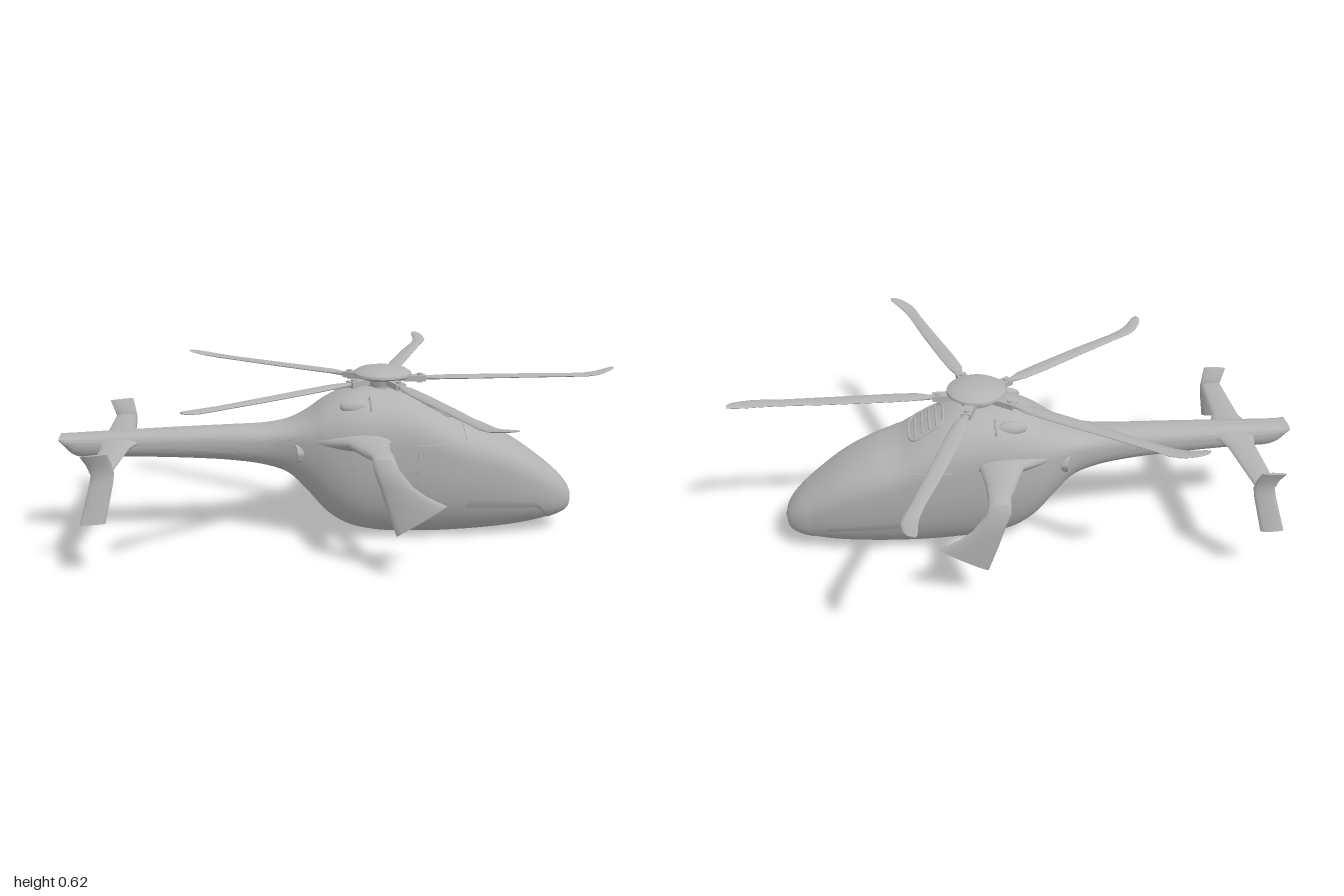
import * as THREE from 'three';
import { toCreasedNormals } from 'three/addons/utils/BufferGeometryUtils.js';

const paint = new THREE.MeshStandardMaterial({ color: 0xb3b3b3 });
paint.name = 'light grey paint';
const V = (x, y, z) => new THREE.Vector3(x, y, z);

function add(parent, name, geo) {
  const m = new THREE.Mesh(geo, paint);
  m.name = name;
  parent.add(m);
  return m;
}

// Closed skin over equal-sized rings, capped at both ends, always facing outwards
function loft(rings, crease = 0.8) {
  const n = rings[0].length, last = (rings.length - 1) * n;
  const pts = rings.flat(), idx = [];
  for (let i = 0; i < rings.length - 1; i++) {
    for (let j = 0; j < n; j++) {
      const a = i * n + j, b = i * n + (j + 1) % n;
      idx.push(a, a + n, b + n, a, b + n, b);
    }
  }
  const centre = ring => ring.reduce((s, p) => s.add(p), V(0, 0, 0)).divideScalar(n);
  const c0 = pts.push(centre(rings[0])) - 1, c1 = pts.push(centre(rings[rings.length - 1])) - 1;
  for (let j = 0; j < n; j++) {
    const k = (j + 1) % n;
    idx.push(c0, j, k, c1, last + k, last + j);
  }
  const origin = pts[c0];
  let volume = 0;
  for (let i = 0; i < idx.length; i += 3) {
    const [a, b, c] = [0, 1, 2].map(k => pts[idx[i + k]].clone().sub(origin));
    volume += a.dot(b.cross(c));
  }
  if (volume < 0) idx.reverse();
  const g = new THREE.BufferGeometry().setFromPoints(pts);
  g.setIndex(idx);
  return toCreasedNormals(g, crease);
}

// Wing-like skin; each station is [leading point, trailing point, thickness, normal]
function foil(stations) {
  return loft(stations.map(([le, te, th, nrm]) => {
    const mid = le.clone().add(te).multiplyScalar(0.5), half = le.clone().sub(mid);
    return Array.from({ length: 20 }, (_, j) => {
      const a = j / 20 * Math.PI * 2;
      return mid.clone().addScaledVector(half, Math.cos(a)).addScaledVector(nrm, th / 2 * Math.sin(a));
    });
  }));
}

// Fuselage stations: x, top, bottom, half width, height of widest line
const BODY = [
  [-1, .388, .372, .045, .381], [-.95, .392, .315, .047, .365], [-.8, .398, .308, .052, .36],
  [-.6, .405, .3, .059, .36], [-.4, .41, .285, .067, .36], [-.28, .413, .265, .08, .36],
  [-.2, .424, .235, .103, .37], [-.13, .455, .165, .135, .37], [-.06, .502, .085, .165, .37],
  [.02, .536, .035, .185, .37], [.12, .542, .01, .19, .37], [.22, .528, .003, .19, .36],
  [.32, .482, 0, .187, .34], [.42, .425, .002, .178, .3], [.52, .388, .007, .167, .27],
  [.62, .338, .016, .15, .23], [.72, .268, .032, .122, .175], [.8, .2, .055, .085, .13],
  [.835, .155, .075, .05, .115], [.848, .118, .108, .006, .113],
];
const curveA = new THREE.CatmullRomCurve3(BODY.map(b => V(b[0], b[1], b[2])));
const curveB = new THREE.CatmullRomCurve3(BODY.map(b => V(b[0], b[3], b[4])));
const POW = 2 / 2.4;

// Point on the fuselage skin, pushed out by d
function skin(t, a, d = 0) {
  const p = curveA.getPoint(t), q = curveB.getPoint(t);
  const c = Math.cos(a), s = Math.sin(a);
  const h = s > 0 ? p.y - q.z : q.z - p.z;
  return V(p.x, q.z + Math.sign(s) * Math.abs(s) ** POW * h + s * d,
    Math.sign(c) * Math.abs(c) ** POW * q.y + c * d);
}
function tAt(x) {
  let lo = 0, hi = 1;
  for (let i = 0; i < 30; i++) {
    const m = (lo + hi) / 2;
    if (curveA.getPoint(m).x < x) lo = m; else hi = m;
  }
  return lo;
}
// Skin angle at a given height
function angleAt(t, y) {
  const p = curveA.getPoint(t), q = curveB.getPoint(t);
  const r = THREE.MathUtils.clamp((y - q.z) / (y > q.z ? p.y - q.z : q.z - p.z), -.97, .97);
  return Math.sign(r) * Math.asin(Math.abs(r) ** (1 / POW));
}
// Slightly raised panel between two angles, with its edges sunk into the fuselage
function panel(x0, x1, from, to) {
  const t0 = tAt(x0), t1 = tAt(x1);
  return loft(Array.from({ length: 33 }, (_, i) => {
    const t = t0 + (t1 - t0) * i / 32, a = from(t), b = to(t);
    return Array.from({ length: 41 }, (_, j) =>
      skin(t, a + (b - a) * j / 40, j === 0 || j === 40 ? -.004 : .003));
  }));
}

export function createModel() {
  const model = new THREE.Group();
  model.name = 'helicopter';

  // Fuselage and tail boom
  add(model, 'fuselage', loft(Array.from({ length: 115 }, (_, i) =>
    Array.from({ length: 56 }, (_, j) => skin(i / 114, j / 56 * Math.PI * 2)))));

  // Windshield and side windows
  const lowEdge = t => {
    const x = curveA.getPoint(t).x;
    return angleAt(t, x < .42 ? .2 - (x - .24) * .47 : x < .7 ? .115 - (x - .42) * .05 : .1 - (x - .7));
  };
  add(model, 'windshield', panel(.42, .842, lowEdge, t => Math.PI - lowEdge(t)));
  const highEdge = t => angleAt(t, .375);
  add(model, 'leftSideWindow', panel(.245, .422, lowEdge, highEdge));
  add(model, 'rightSideWindow', panel(.245, .422, t => Math.PI - highEdge(t), t => Math.PI - lowEdge(t)));

  // Louvred grille on the front of the cowling
  const rim = [[.27, 1.25], [.31, 1.2], [.37, 1.2], [.385, 1.57], [.37, 1.94], [.31, 1.94], [.27, 1.89], [.26, 1.57]]
    .map(([x, a]) => skin(tAt(x), a, .001));
  add(model, 'grilleRim', new THREE.TubeGeometry(new THREE.CatmullRomCurve3(rim, true), 64, .005, 8, true));
  for (let i = 0; i < 4; i++) {
    const t = tAt(.285 + i * .025);
    const slat = new THREE.CatmullRomCurve3([1.24, 1.4, 1.57, 1.74, 1.9].map(a => skin(t, a, .001)));
    add(model, 'grilleSlat', new THREE.TubeGeometry(slat, 20, .005, 6));
  }

  const up = V(0, 1, 0);
  for (const s of [1, -1]) {
    const side = new THREE.Group();
    side.name = s > 0 ? 'leftSide' : 'rightSide';
    model.add(side);
    const out = V(0, 0, s), bend = V(0, .7, .7 * s);
    const st = (xl, yl, xt, yt, z, th, n) => [V(xl, yl, z * s), V(xt, yt, z * s), th, n];

    // Stub wing curving down into its swept winglet
    add(side, 'stubWing', foil([
      st(.2, .375, -.2, .375, .08, .07, up), st(.18, .38, -.1, .38, .15, .07, up),
      st(.145, .385, -.005, .385, .2, .055, up), st(.135, .387, .03, .387, .3, .042, up),
      st(.135, .392, .058, .392, .385, .034, up), st(.137, .388, .06, .388, .415, .034, bend),
      st(.145, .365, .062, .365, .43, .028, out), st(.19, .305, .085, .3, .432, .025, out),
      st(.235, .272, .105, .235, .432, .023, out), st(.305, .235, .14, .135, .43, .018, out),
    ]));

    // Horizontal tail and boomerang end plate
    add(side, 'tailplane', foil([
      st(-.7, .365, -.87, .365, 0, .035, up), st(-.73, .365, -.86, .365, .06, .03, up),
      st(-.75, .364, -.85, .364, .11, .024, up), st(-.775, .36, -.85, .36, .36, .018, up),
    ]));
    add(side, 'tailEndPlate', foil([
      st(-.785, .425, -.872, .418, .378, .014, out), st(-.775, .385, -.857, .385, .362, .02, out),
      st(-.77, .355, -.845, .35, .356, .022, out), st(-.775, .32, -.85, .32, .363, .02, out),
      st(-.802, .197, -.885, .195, .395, .014, out),
    ]));

    // Exhaust pipe
    const pipe = [[.045, -.14], [.04, -.05], [.036, 0], [.03, 0], [.027, -.06], [.001, -.06]]
      .map(p => new THREE.Vector2(...p));
    const exhaust = add(side, 'exhaust', toCreasedNormals(new THREE.LatheGeometry(pipe, 28), .6));
    exhaust.quaternion.setFromUnitVectors(up, V(-.92, -.03, .36 * s).normalize());
    exhaust.position.set(-.182, .332, .1 * s);

    // Engine air intake
    const lip = add(side, 'intakeLip', new THREE.TorusGeometry(.022, .005, 10, 28));
    lip.position.set(.085, .503, .128 * s);
    lip.rotation.set(-.5 * s, Math.PI / 2, 0, 'XYZ');
    lip.scale.set(.8, 1.3, 1);
    const fairing = add(side, 'intakeFairing', new THREE.SphereGeometry(1, 24, 16));
    fairing.position.set(.03, .5, .122 * s);
    fairing.scale.set(.052, .026, .02);
    fairing.rotation.x = -.5 * s;
  }

  // Main rotor
  const rotor = new THREE.Group();
  rotor.name = 'mainRotor';
  rotor.position.x = .14;
  model.add(rotor);
  const hub = [[.04, .5], [.036, .55], [.065, .553], [.07, .575], [.09, .578], [.105, .587],
    [.103, .595], [.085, .606], [.045, .614], [0, .616]].map(p => new THREE.Vector2(...p));
  add(rotor, 'rotorHub', toCreasedNormals(new THREE.LatheGeometry(hub, 48), .6));

  // Blade stations: radius, centre offset, half chord, height, thickness
  const blade = [[.06, 0, .012, .57, .018], [.165, 0, .012, .571, .016], [.21, .003, .025, .573, .014],
    [.3, .004, .028, .573, .013], [.5, .006, .026, .573, .012], [.68, .011, .022, .573, .011],
    [.74, .012, .025, .574, .011], [.78, .006, .026, .577, .01], [.81, -.005, .024, .582, .009],
    [.835, -.016, .02, .587, .007], [.85, -.024, .011, .59, .005]];
  for (let k = 0; k < 5; k++) {
    const arm = new THREE.Group();
    arm.name = 'rotorArm';
    arm.rotation.y = k * Math.PI * 2 / 5;
    rotor.add(arm);
    add(arm, 'blade', foil(blade.map(([r, o, c, y, th]) => [V(r, y, o - c), V(r, y, o + c), th, up])));
    add(arm, 'bladeGrip', new THREE.BoxGeometry(.08, .02, .036)).position.set(.115, .571, 0);
    add(arm, 'gripBolt', new THREE.CylinderGeometry(.01, .01, .032, 16)).position.set(.135, .571, 0);
  }
  return model;
}
